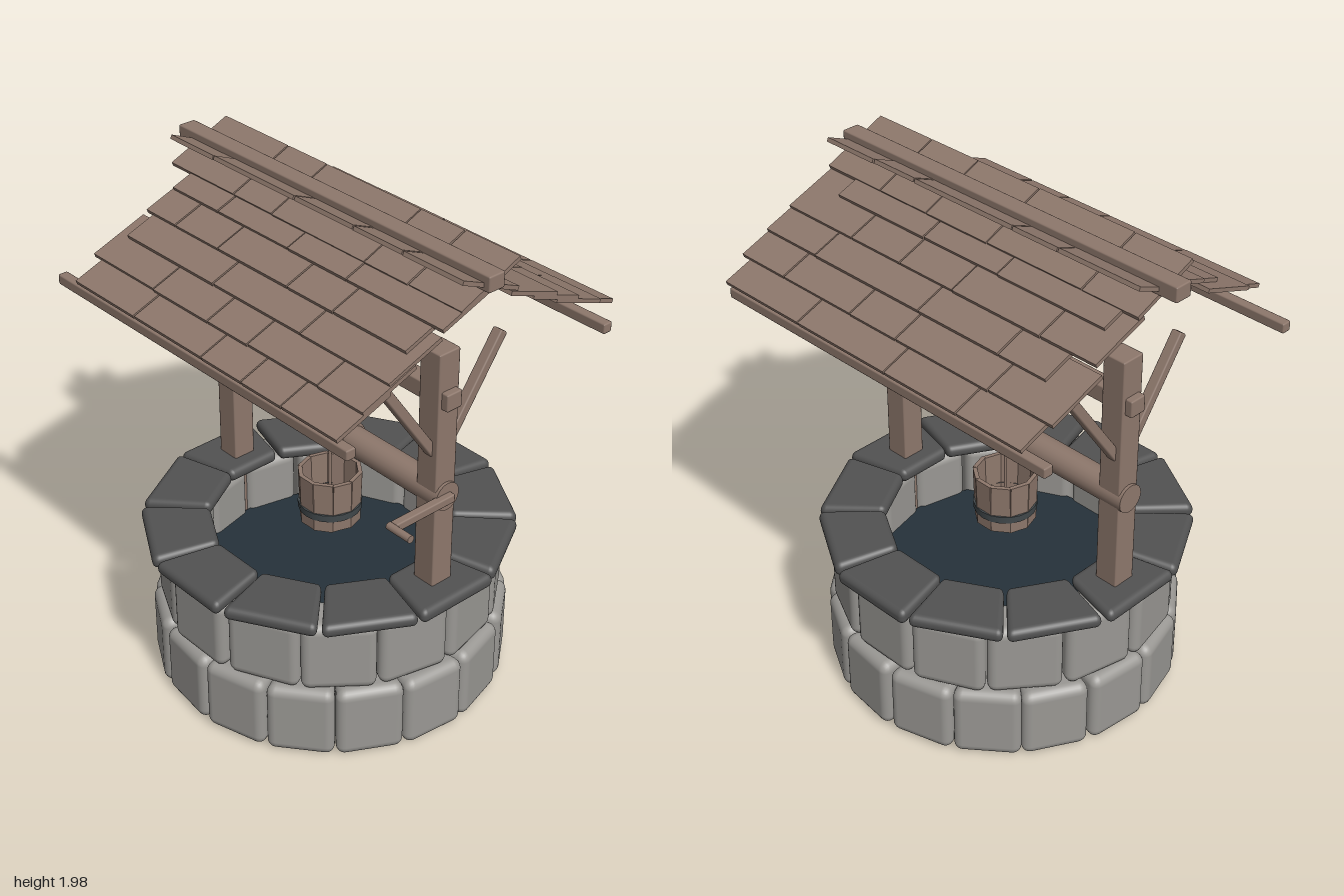
import * as THREE from 'three';
import { RoundedBoxGeometry } from 'three/addons/geometries/RoundedBoxGeometry.js';

const mat = (name, color, extra = {}) => {
  const m = new THREE.MeshStandardMaterial({ color, ...extra });
  m.name = name;
  return m;
};

export function createModel() {
  const wood = mat('wood', 0x8e786c);
  const stone = mat('stone', 0x9a9894);
  const slate = mat('slate', 0x525252, { side: THREE.DoubleSide });
  const water = mat('water', 0x26323a);
  const iron = mat('iron', 0x434a4d);

  const well = new THREE.Group();
  well.name = 'well';

  let seed = 7;
  const jitter = (a) => {
    seed = (seed * 16807) % 2147483647;
    return (seed / 2147483647 - 0.5) * 2 * a;
  };
  const group = (name, parent = well) => {
    const g = new THREE.Group();
    g.name = name;
    parent.add(g);
    return g;
  };
  const add = (name, geo, material, x, y, z, parent = well) => {
    const m = new THREE.Mesh(geo, material);
    m.name = name;
    m.position.set(x, y, z);
    parent.add(m);
    return m;
  };
  const beam = (name, w, h, d, x, y, z, parent = well) =>
    add(name, new RoundedBoxGeometry(w, h, d, 1, 0.006), wood, x, y, z, parent);

  // Rounded block narrowed towards the middle of its ring
  const wedge = (width, height, inner, outer, bevel) => {
    const depth = outer - inner;
    const geo = new RoundedBoxGeometry(width, height, depth, 3, bevel);
    const p = geo.attributes.position;
    for (let i = 0; i < p.count; i++) {
      const r = p.getZ(i) + inner + depth / 2;
      p.setX(i, (p.getX(i) * r) / outer);
      p.setZ(i, r);
    }
    return geo;
  };
  const ring = (name, o) => {
    const g = group(name + 's');
    for (let i = 0; i < o.count; i++) {
      const outer = o.outer + jitter(0.006);
      const width = 2 * o.outer * Math.tan(Math.PI / o.count) * o.fill;
      const height = o.height - Math.abs(jitter(o.uneven));
      const b = add(name, wedge(width, height, o.inner, outer, o.bevel), o.material,
        0, o.base + height / 2, 0, g);
      b.rotation.y = o.start + (i * 2 * Math.PI) / o.count + jitter(0.008);
    }
  };

  // Wall and coping
  ring('lowerStone', { count: 16, inner: 0.48, outer: 0.68, base: 0.008, height: 0.305,
    fill: 0.985, uneven: 0.015, bevel: 0.04, start: -0.11, material: stone });
  ring('upperStone', { count: 14, inner: 0.48, outer: 0.655, base: 0.3, height: 0.298,
    fill: 0.975, uneven: 0.01, bevel: 0.04, start: 0, material: stone });
  ring('copingStone', { count: 12, inner: 0.445, outer: 0.7, base: 0.59, height: 0.062,
    fill: 0.955, uneven: 0.008, bevel: 0.026, start: 0, material: slate });

  // Water with a hollow basin below it
  add('water', new THREE.CircleGeometry(0.5, 40), water, 0, 0.385, 0).rotation.x = -Math.PI / 2;
  const basin = [[0.478, 0.012], [0.474, 0.14], [0.42, 0.26], [0.24, 0.345], [0, 0.365]];
  add('basin', new THREE.LatheGeometry(basin.map(([r, y]) => new THREE.Vector2(r, y)), 40),
    slate, 0, 0, 0);

  // Posts with a pair of braces each
  for (const s of [-1, 1]) {
    const side = s < 0 ? 'right' : 'left';
    beam(side + 'Post', 0.097, 1.6, 0.096, s * 0.56, 0.81, 0);
    for (const f of [-1, 1]) {
      const b = beam(side + 'Brace', 0.042, 0.45, 0.038, s * 0.564, 1.385, f * 0.158);
      b.rotation.x = f * 0.61;
    }
  }

  // Horizontal beams
  beam('crossBeam', 1.275, 0.068, 0.07, 0, 1.427, 0);
  beam('ridgeBeam', 1.605, 0.06, 0.072, 0, 1.948, 0);
  for (const f of [-1, 1]) beam('eaveBeam', 1.57, 0.04, 0.04, -0.005, 1.545, f * 0.602);

  // Roof: rows from eave to ridge, each a list of plank ends along x
  const lowZ = [0.66, 0.55, 0.435, 0.325, 0.21, 0.13];
  const lowY = [1.612, 1.666, 1.722, 1.777, 1.832, 1.868];
  const frontRows = [
    [-0.615, -0.27, 0.1, 0.31, 0.51, 0.78],
    [-0.655, -0.3, 0, 0.21, 0.56, 0.78],
    [-0.6, -0.11, 0.345, 0.775],
    [-0.63, -0.46, -0.22, 0.15, 0.38, 0.73],
    [-0.62, -0.36, 0.02, 0.32, 0.78],
    [-0.73, -0.37, -0.16, 0.32, 0.53, 0.78],
  ];
  const backRows = [
    [-0.725, -0.43, -0.09, 0.35, 0.745],
    [-0.755, -0.465, -0.03, 0.2, 0.55, 0.78],
    [-0.615, -0.4, -0.02, 0.51, 0.78],
    [-0.73, -0.48, -0.07, 0.19, 0.44, 0.78],
    [-0.66, -0.17, 0.19, 0.635],
    [-0.73, -0.48, -0.04, 0.26, 0.5, 0.78],
  ];
  for (const [name, f, rows] of [['frontRoof', 1, frontRows], ['backRoof', -1, backRows]]) {
    const roof = group(name);
    rows.forEach((ends, r) => {
      const angle = r === 5 ? 0.4 : 0.35;
      const length = r === 5 ? 0.282 : 0.24;
      const z = lowZ[r] - (length / 2) * Math.cos(angle);
      const y = lowY[r] + (length / 2) * Math.sin(angle) + 0.004;
      for (let i = 0; i + 1 < ends.length; i++) {
        const w = ends[i + 1] - ends[i] - 0.006;
        const plank = add('shingle', new THREE.BoxGeometry(w, 0.016, length), wood,
          (ends[i] + ends[i + 1]) / 2, y + jitter(0.001), f * (z + jitter(0.002)), roof);
        plank.rotation.x = f * angle;
      }
    });
  }

  // Windlass: axle, rope coils and crank
  const windlass = group('windlass');
  const rod = (name, r, len, x, y, z, parent, sides = 20) => {
    const m = add(name, new THREE.CylinderGeometry(r, r, len, sides), wood, x, y, z, parent);
    m.rotation.z = Math.PI / 2;
    return m;
  };
  rod('axle', 0.056, 1.24, 0, 1.026, 0, windlass);
  for (let i = -2; i <= 2; i++) {
    add('ropeCoil', new THREE.TorusGeometry(0.056, 0.01, 8, 28), wood,
      i * 0.06, 1.026, 0, windlass).rotation.y = Math.PI / 2;
  }
  beam('crankArm', 0.034, 0.034, 0.28, 0.628, 1.026, 0.125, windlass);
  rod('crankHandle', 0.015, 0.11, 0.665, 1.026, 0.272, windlass, 12);
  add('rope', new THREE.CylinderGeometry(0.006, 0.006, 0.38, 8), wood, 0, 0.83, 0, windlass);

  // Bucket of flat staves bound by an iron hoop
  const bucket = group('bucket');
  const staves = 10;
  for (let i = 0; i < staves; i++) {
    const a = (i / staves) * Math.PI * 2;
    const s = add('stave', new THREE.BoxGeometry(0.073, 0.21 + jitter(0.004), 0.016), wood,
      Math.sin(a) * 0.108, 0.727, Math.cos(a) * 0.108, bucket);
    s.rotation.set(0.03, a, 0, 'YXZ');
  }
  add('bucketBase', new THREE.CylinderGeometry(0.104, 0.104, 0.02, staves), wood, 0, 0.64, 0, bucket);
  add('hoop', new THREE.CylinderGeometry(0.124, 0.122, 0.03, 20, 1, true), iron, 0, 0.685, 0, bucket);
  const rim = new THREE.RingGeometry(0.1, 0.124, 20);
  add('hoopTop', rim, iron, 0, 0.7, 0, bucket).rotation.x = -Math.PI / 2;
  add('hoopBottom', rim, iron, 0, 0.67, 0, bucket).rotation.x = Math.PI / 2;

  return well;
}
